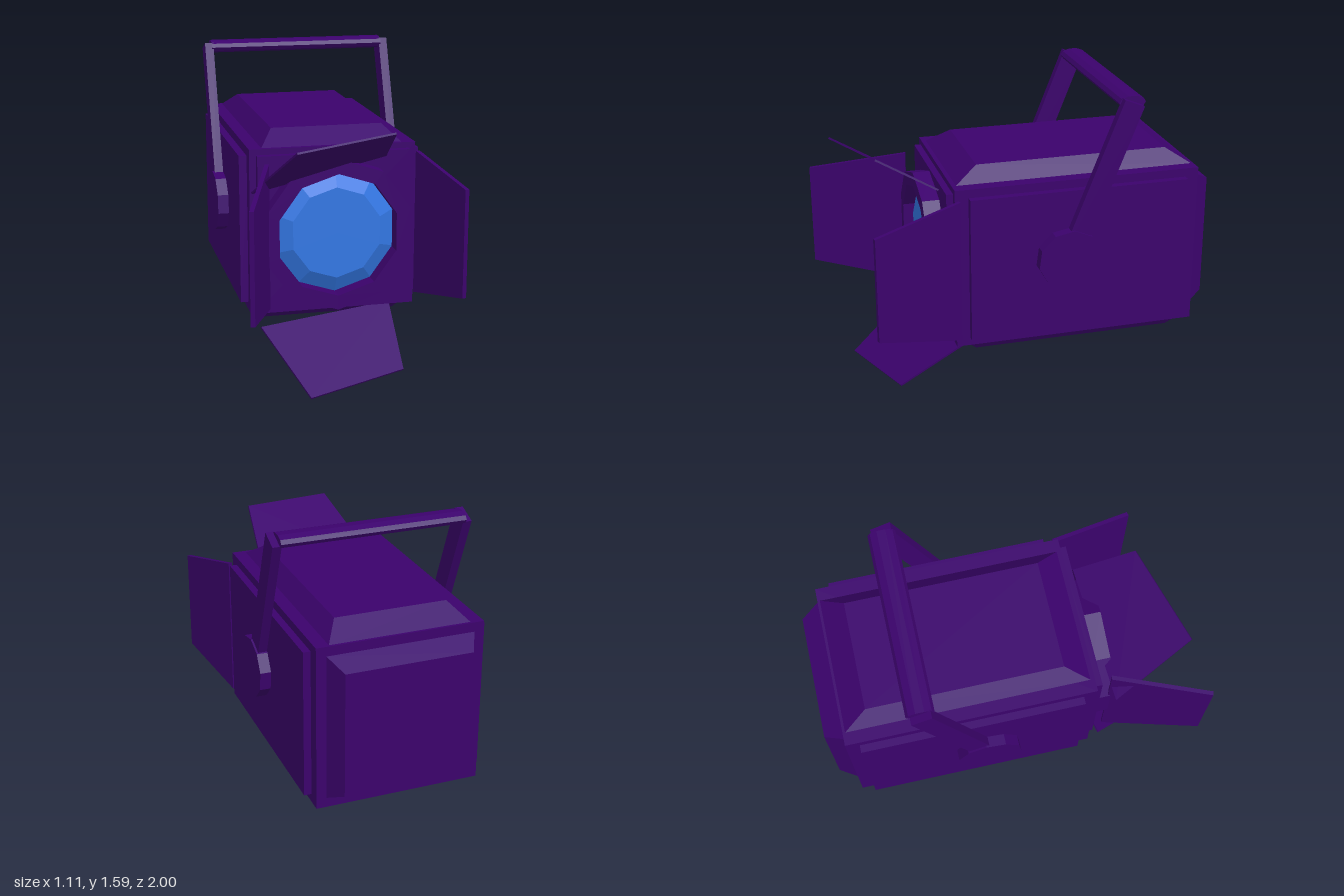
import * as THREE from 'three';
import { ConvexGeometry } from 'three/addons/geometries/ConvexGeometry.js';

const CX = -0.02; // centre line of the lamp housing

export function createModel() {
  const model = new THREE.Group();
  model.name = 'stageLight';

  const purple = new THREE.MeshStandardMaterial({ color: 0x3b026c, flatShading: true });
  purple.name = 'purple metal';
  const blue = new THREE.MeshStandardMaterial({ color: 0x3377e4, flatShading: true });
  blue.name = 'blue glass';

  const add = (name, geometry, material = purple) => {
    const mesh = new THREE.Mesh(geometry, material);
    mesh.name = name;
    model.add(mesh);
    return mesh;
  };

  // Box given by its minimum and maximum corners
  const box = (name, [x0, y0, z0], [x1, y1, z1]) =>
    add(name, new THREE.BoxGeometry(x1 - x0, y1 - y0, z1 - z0)
      .translate((x0 + x1) / 2, (y0 + y1) / 2, (z0 + z1) / 2));

  // Convex block spanned by two four-cornered faces
  const block = (name, a, b) =>
    add(name, new ConvexGeometry([...a, ...b].map((p) => new THREE.Vector3(...p))));
  const rectY = (x0, x1, z0, z1, y) => [[x0, y, z0], [x1, y, z0], [x1, y, z1], [x0, y, z1]];
  const rectZ = (x0, x1, y0, y1, z) => [[x0, y0, z], [x1, y0, z], [x1, y1, z], [x0, y1, z]];

  // Thin flat plate through four corners
  const plate = (name, thickness, corners) => {
    const p = corners.map((c) => new THREE.Vector3(...c));
    const n = p[2].clone().sub(p[0]).cross(p[3].clone().sub(p[1])).setLength(thickness / 2);
    add(name, new ConvexGeometry([
      ...p.map((v) => v.clone().add(n)), ...p.map((v) => v.clone().sub(n))]));
  };

  // Housing with raised panels on every side
  box('housing', [-0.45, 0.304, -0.9], [0.412, 1.167, 0.395]);
  box('frontFrame', [-0.415, 0.336, 0.39], [0.375, 1.137, 0.43]);
  box('leftSidePanel', [0.4, 0.348, -0.83], [0.45, 1.122, 0.325]);
  box('rightSidePanel', [-0.49, 0.348, -0.83], [-0.44, 1.122, 0.325]);
  block('topPanel',
    rectY(-0.385, 0.345, -0.89, 0.375, 1.165), rectY(-0.31, 0.27, -0.765, 0.25, 1.243));
  block('bottomPanel',
    rectY(-0.42, 0.38, -0.85, 0.34, 0.306), rectY(-0.375, 0.335, -0.79, 0.275, 0.242));
  block('backPanel',
    rectZ(-0.4, 0.36, 0.355, 1.118, -0.9), rectZ(-0.35, 0.305, 0.408, 1.062, -1.0));

  // Ten-sided hollow ring with a domed glass set back inside it
  const ringProfile = [[0.393, 0.42], [0.393, 0.52], [0.318, 0.52], [0.318, 0.42]];
  add('lensRing', new THREE.LatheGeometry(ringProfile.map((p) => new THREE.Vector2(...p)), 10)
    .rotateX(Math.PI / 2).translate(CX, 0.731, 0));
  add('lens', new THREE.CylinderGeometry(0.237, 0.322, 0.045, 10)
    .rotateX(Math.PI / 2).translate(CX, 0.734, 0.458), blue);

  // Barn doors, each bent to its own angle
  plate('topDoor', 0.01, [
    [-0.315, 1.253, 0.91], [0.205, 1.291, 0.75], [0.245, 1.115, 0.44], [-0.46, 0.973, 0.505]]);
  plate('bottomDoor', 0.01, [
    [-0.235, 0.006, 0.84], [0.283, 0.045, 0.675], [0.31, 0.28, 0.295], [-0.413, 0.256, 0.47]]);
  plate('rightDoor', 0.022, [
    [-0.547, 1.014, 0.995], [-0.547, 0.46, 0.995], [-0.378, 0.36, 0.49], [-0.378, 1.11, 0.49]]);
  plate('leftDoor', 0.022, [
    [0.545, 1.012, 0.825], [0.545, 0.457, 0.825], [0.432, 0.352, 0.375], [0.432, 1.115, 0.375]]);

  // Tilted carrying yoke: pivot discs, arms and crossbar
  const pivot = new THREE.Vector3(0, 0.765, -0.185);
  const top = new THREE.Vector3(0, 1.568, -0.505);
  const reach = top.clone().sub(pivot);
  for (const [side, s] of [['left', 1], ['right', -1]]) {
    add(side + 'Pivot', new THREE.CylinderGeometry(0.17, 0.17, 0.09, 10)
      .rotateZ(Math.PI / 2).rotateX(0.2).scale(1, 0.94, 1)
      .translate(CX + s * 0.482, pivot.y, pivot.z));
    add(side + 'Arm', new THREE.BoxGeometry(0.046, reach.length(), 0.11)
      .rotateX(Math.atan2(reach.z, reach.y))
      .translate(CX + s * 0.494, (pivot.y + top.y) / 2, (pivot.z + top.z) / 2));
  }
  add('crossbar', new THREE.CylinderGeometry(1, 1, 0.96, 10)
    .rotateZ(Math.PI / 2).scale(1, 0.034, 0.07)
    .translate(CX, 1.563, top.z));

  return model;
}
